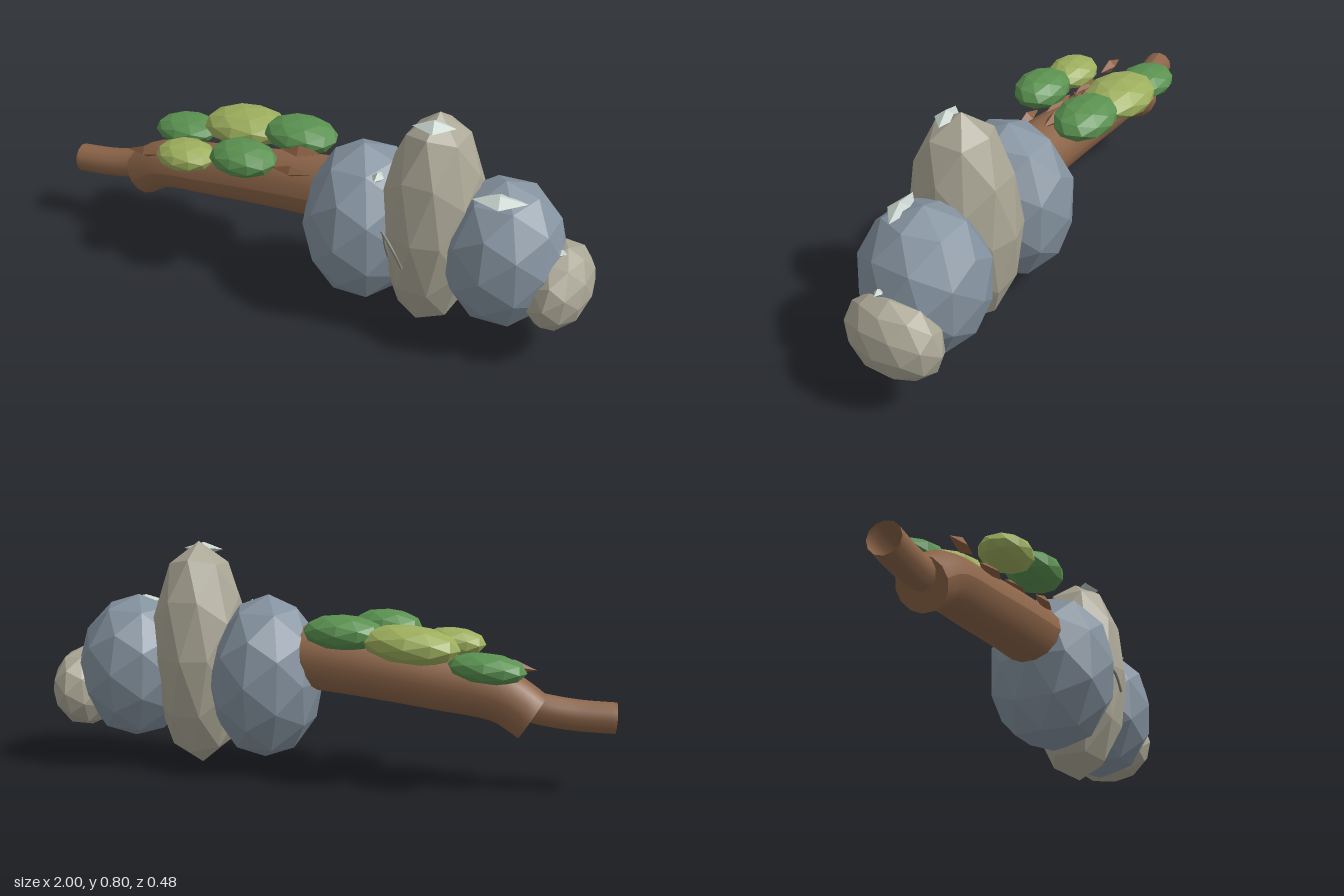
import * as THREE from 'three';

const mat = (name, color, extra = {}) => {
  const m = new THREE.MeshStandardMaterial({ color, ...extra });
  m.name = name;
  return m;
};

export function createModel() {
  const group = new THREE.Group();
  const flat = { flatShading: true };
  const slate = mat('slate stone', 0x84929f, flat);
  const sand = mat('sand stone', 0xaaa695, flat);
  const bark = mat('bark', 0x8b6448, { side: THREE.DoubleSide });
  const chipWood = mat('bark chip', 0x8a5f42, flat);
  const darkMoss = mat('dark moss', 0x5a9150, flat);
  const lightMoss = mat('light moss', 0x9dae5d, flat);
  const pale = mat('pale mineral', 0xc6d2cb, flat);
  const crackMat = mat('crack', 0x77766c);

  const ball = new THREE.IcosahedronGeometry(1, 1);
  const shard = new THREE.OctahedronGeometry(1, 0);
  const add = (name, geo, material, pos, size = [1, 1, 1], rot = [0, 0, 0]) => {
    const mesh = new THREE.Mesh(geo, material);
    mesh.name = name;
    mesh.position.set(...pos);
    mesh.scale.set(...size);
    mesh.rotation.set(...rot);
    group.add(mesh);
    return mesh;
  };

  // Stacked boulders of the head
  add('innerBoulder', ball, slate, [0.205, 0.332, 0.003], [0.205, 0.293, 0.237], [0, 0, 0.03]);
  add('tallBoulder', ball, sand, [0.455, 0.403, 0], [0.19, 0.402, 0.175], [0, Math.PI / 2, 0]);
  add('outerBoulder', ball, slate, [0.698, 0.349, -0.016], [0.208, 0.262, 0.218], [0, 0, 0.05]);
  add('endBoulder', ball, sand, [0.89, 0.268, -0.038], [0.109, 0.147, 0.174], [0, 0, -0.08]);

  // Log: rings swept along a bending centre line, radius interpolated
  const sweep = (name, points, radii, sides) => {
    const curve = new THREE.CatmullRomCurve3(points.map(p => new THREE.Vector3(...p)));
    const steps = 20;
    const geo = new THREE.TubeGeometry(curve, steps, 1, sides, false);
    const p = geo.attributes.position, c = new THREE.Vector3(), v = new THREE.Vector3();
    for (let i = 0; i <= steps; i++) {
      curve.getPointAt(i / steps, c);
      const r = THREE.MathUtils.lerp(radii[0], radii[1], i / steps);
      for (let j = 0; j <= sides; j++) {
        const k = i * (sides + 1) + j;
        v.fromBufferAttribute(p, k).sub(c).multiplyScalar(r).add(c);
        p.setXYZ(k, v.x, v.y, v.z);
      }
    }
    geo.computeVertexNormals();
    add(name, geo, bark, [0, 0, 0]);
    return curve;
  };
  const log = sweep('log', [[-0.73, 0.25, 0], [-0.63, 0.312, 0], [-0.4, 0.352, 0],
    [-0.15, 0.388, 0], [0.12, 0.42, 0]], [0.086, 0.112], 14);
  sweep('handleTip', [[-0.995, 0.256, 0.036], [-0.87, 0.262, 0.018], [-0.76, 0.278, 0.002],
    [-0.66, 0.3, 0]], [0.053, 0.055], 12);

  // Cap behind the handle tip
  const cap = add('logEnd', new THREE.CircleGeometry(0.086, 14), bark, [-0.73, 0.25, 0]);
  cap.lookAt(cap.position.clone().sub(log.getTangentAt(0)));

  // Moss cushions along both sides of the log
  [
    [darkMoss, [-0.59, 0.425, -0.105], [0.13, 0.05, 0.095], 0.08],
    [lightMoss, [-0.34, 0.493, -0.122], [0.167, 0.065, 0.118], 0.08],
    [darkMoss, [-0.108, 0.522, -0.112], [0.14, 0.06, 0.104], 0.02],
    [lightMoss, [-0.437, 0.468, 0.128], [0.114, 0.051, 0.087], 0.05],
    [darkMoss, [-0.205, 0.516, 0.12], [0.125, 0.059, 0.094], 0.04],
  ].forEach(([m, pos, size, tilt]) => add('mossCushion', ball, m, pos, size, [0, 0, tilt]));

  // Loose bark chips
  [
    [[-0.65, 0.4, 0.083], [0.08, 0.025, 0.022], 0.1],
    [[-0.43, 0.422, 0.07], [0.08, 0.025, 0.03], 0.1],
    [[-0.33, 0.45, 0.005], [0.09, 0.03, 0.035], 0.15],
    [[-0.26, 0.475, 0], [0.025, 0.05, 0.02], -0.5],
    [[-0.2, 0.475, 0.05], [0.09, 0.025, 0.03], 0.1],
    [[-0.04, 0.488, 0.08], [0.075, 0.024, 0.022], 0.05],
    [[-0.06, 0.51, -0.02], [0.08, 0.025, 0.03], 0.1],
  ].forEach(([pos, size, tilt]) => add('barkChip', shard, chipWood, pos, size, [0.2, 0.05, tilt]));

  // Pale mineral flakes on the boulders
  [
    [[0.458, 0.774, 0.05], [0.07, 0.024, 0.043], 0.25],
    [[0.695, 0.578, 0.06], [0.088, 0.022, 0.046], 0.25],
    [[0.295, 0.572, 0.1], [0.022, 0.02, 0.03], 0],
    [[0.893, 0.418, 0.005], [0.02, 0.014, 0.016], 0],
  ].forEach(([pos, size, turn]) => add('mineralFlake', shard, pale, pos, size, [0.15, turn, 0]));

  // Forked crack on the face of the tall boulder
  const line = pts => new THREE.TubeGeometry(
    new THREE.CatmullRomCurve3(pts.map(p => new THREE.Vector3(...p))), 6, 0.005, 5);
  add('crack', line([[0.34, 0.41, 0.155], [0.39, 0.37, 0.178], [0.43, 0.31, 0.184]]), crackMat, [0, 0, 0]);
  add('crackBranch', line([[0.35, 0.4, 0.16], [0.365, 0.36, 0.17], [0.375, 0.33, 0.17]]), crackMat, [0, 0, 0]);

  return group;
}
